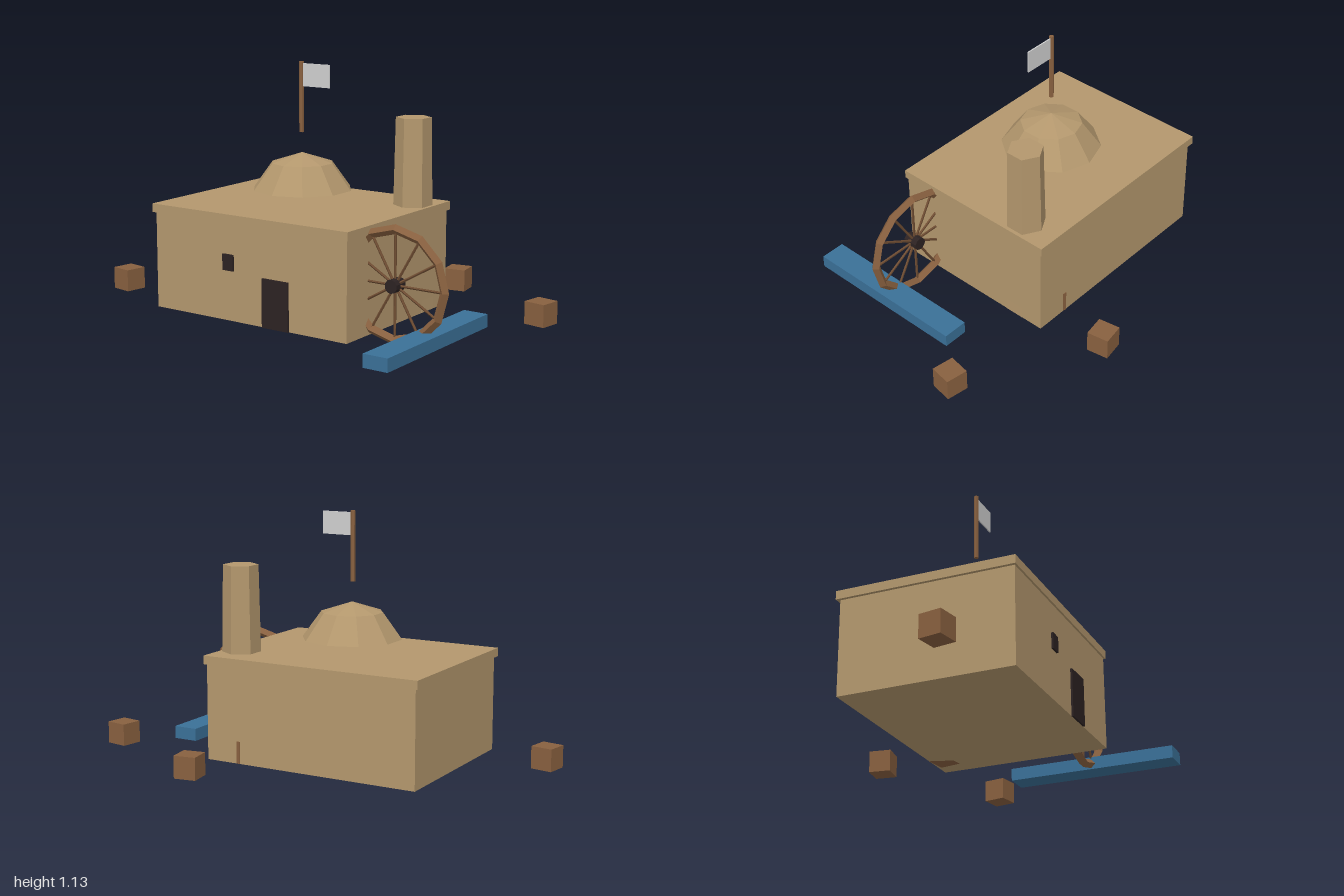
import * as THREE from 'three';

const mat = (name, color, side = THREE.FrontSide) =>
  new THREE.MeshStandardMaterial({ name, color, side, flatShading: true });

export function createModel() {
  const model = new THREE.Group();
  model.name = 'desertMill';

  const clay = mat('clay', 0xb3976d);
  const domeClay = clay.clone();
  domeClay.side = THREE.DoubleSide; // same colour for the open dome shell
  const wood = mat('wood', 0x88603f);
  const darkWood = mat('dark wood', 0x6e4c32);
  const dark = mat('dark opening', 0x2c2222);
  const water = mat('water', 0x3a7097);
  const cloth = mat('cloth', 0xcfcfcf);

  const add = (name, geometry, material, x, y, z, parent = model) => {
    const mesh = new THREE.Mesh(geometry, material);
    mesh.name = name;
    mesh.position.set(x, y, z);
    parent.add(mesh);
    return mesh;
  };
  // Box given by its minimum and maximum corners
  const box = (name, material, [x0, y0, z0], [x1, y1, z1]) =>
    add(name, new THREE.BoxGeometry(x1 - x0, y1 - y0, z1 - z0), material,
      (x0 + x1) / 2, (y0 + y1) / 2, (z0 + z1) / 2);

  // House
  box('walls', clay, [-0.605, 0.023, -0.347], [0.427, 0.46, 0.446]);
  box('roofSlab', clay, [-0.62, 0.458, -0.361], [0.436, 0.497, 0.455]);
  box('door', dark, [-0.008, 0.023, 0.446], [0.13, 0.24, 0.455]);
  box('window', dark, [-0.222, 0.248, 0.446], [-0.165, 0.32, 0.455]);

  // Faceted dome: two rings of a ten-sided sphere, hovering above the roof
  const dome = add('dome', new THREE.SphereGeometry(0.238, 10, 2, 0, Math.PI * 2, 0, Math.PI * 0.4),
    domeClay, -0.09, 0.487, 0.045);
  dome.rotation.y = Math.PI / 10;

  // Tapered six-sided chimney standing on the ground
  add('chimney', new THREE.CylinderGeometry(0.079, 0.097, 0.867, 6), clay, 0.344, 0.4565, -0.193);

  // Flag
  add('flagPole', new THREE.CylinderGeometry(0.011, 0.011, 0.315, 6), wood, -0.092, 0.9725, 0.046);
  box('flag', cloth, [-0.082, 1.02, 0.043], [0.06, 1.122, 0.049]);

  // Water wheel
  const wheel = new THREE.Group();
  wheel.name = 'waterWheel';
  wheel.position.set(0.56, 0.259, 0.286);
  model.add(wheel);
  add('rim', new THREE.TorusGeometry(0.237, 0.021, 4, 12), wood, 0, 0, 0, wheel);
  const hub = add('hub', new THREE.CylinderGeometry(0.03, 0.03, 0.07, 10), dark, 0, 0, 0, wheel);
  hub.rotation.x = Math.PI / 2;
  const spokeGeometry = new THREE.CylinderGeometry(0.006, 0.006, 0.23, 5);
  for (let i = 0; i < 12; i++) {
    const a = (i * Math.PI) / 6;
    const spoke = add('spoke', spokeGeometry, darkWood, -Math.sin(a) * 0.115, Math.cos(a) * 0.115, 0, wheel);
    spoke.rotation.z = a;
  }

  // Water channel under the wheel
  box('waterChannel', water, [0.661, 0.023, -0.112], [0.777, 0.081, 0.677]);

  // Scattered crates, the last one tucked into the back wall
  const crateGeometry = new THREE.BoxGeometry(0.101, 0.101, 0.101);
  for (const [x, z, turn] of [
    [-0.942, 0.27, -0.16], [0.333, -0.625, 0.16], [0.938, -0.294, -0.16], [0.3, -0.292, -0.16],
  ]) {
    add('crate', crateGeometry, wood, x, 0.0735, z).rotation.y = turn;
  }

  return model;
}
